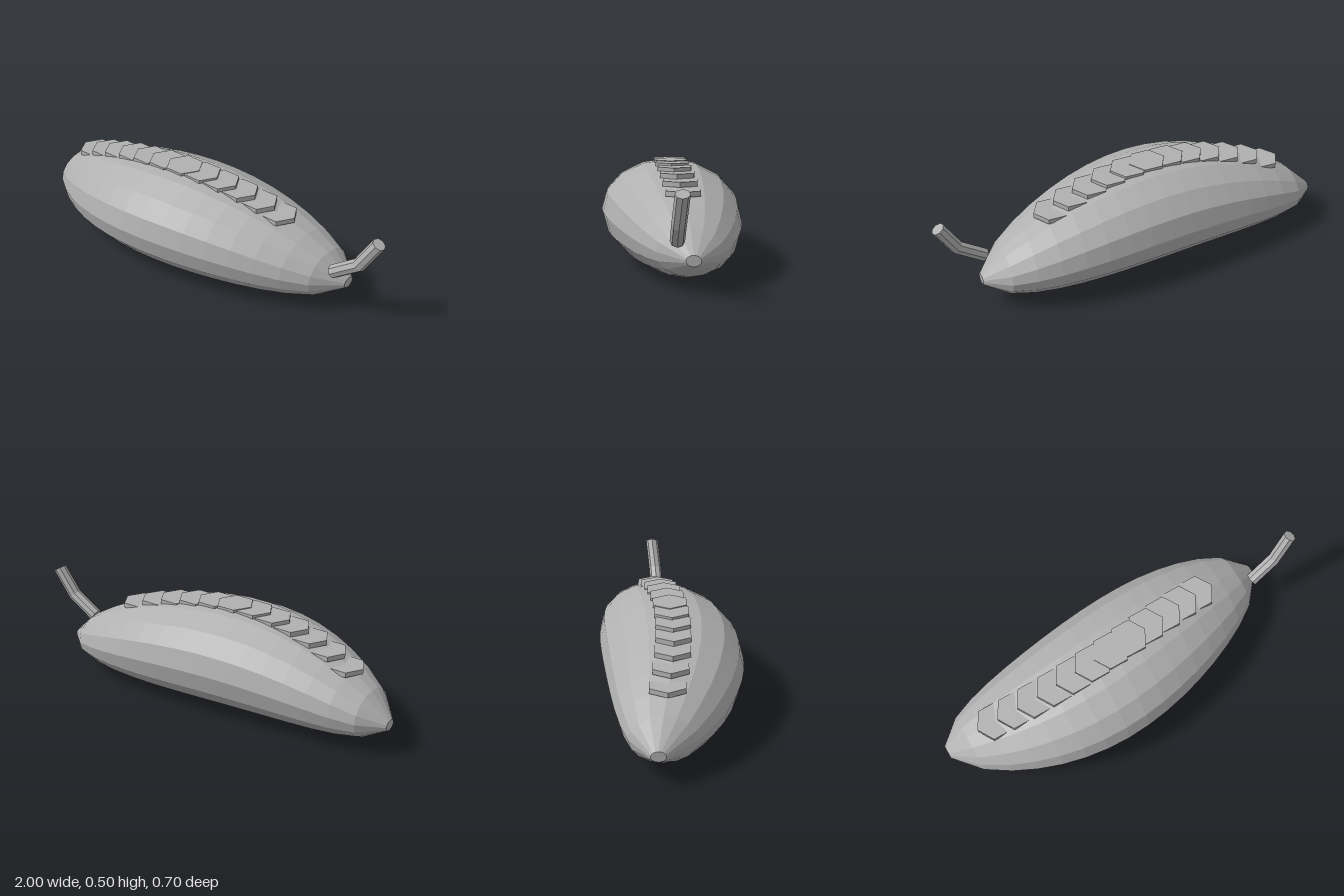
import * as THREE from 'three';

const SIDES = 16, SEGMENTS = 16;

// Body curves along its length, t = 0 (rounded end) to 1 (stem end)
const bodyRadius = t => Math.max(0.034, 0.34 * Math.sqrt(Math.max(0, Math.sin(Math.PI * t))));
const bodyCentre = t => new THREE.Vector3(
  -1 + 1.8 * t,
  0.15 + 0.1 * Math.sin(Math.PI * t),
  -0.06 - 0.066 * t + 0.1 * Math.sin(Math.PI * t) + 0.018 * Math.sin(2 * Math.PI * t)
);
const HEIGHT_RATIO = 0.735;

// Skin a closed, capped surface over elliptical rings {centre, up, rz, ry}
function loft(rings, sides) {
  const pos = [], index = [];
  for (const { centre, up, rz, ry } of rings) {
    for (let j = 0; j < sides; j++) {
      const a = (j / sides) * Math.PI * 2;
      const p = centre.clone().addScaledVector(up, ry * Math.sin(a));
      pos.push(p.x, p.y, p.z + rz * Math.cos(a));
    }
  }
  const last = rings.length - 1;
  for (let i = 0; i < last; i++) {
    for (let j = 0; j < sides; j++) {
      const k = (j + 1) % sides;
      const a = i * sides + j, b = a + sides, c = (i + 1) * sides + k, d = i * sides + k;
      index.push(a, b, c, a, c, d);
    }
  }
  for (let j = 1; j < sides - 1; j++) {
    index.push(0, j, j + 1);
    index.push(last * sides, last * sides + j + 1, last * sides + j);
  }
  const g = new THREE.BufferGeometry();
  g.setAttribute('position', new THREE.Float32BufferAttribute(pos, 3));
  g.setIndex(index);
  g.computeVertexNormals();
  return g;
}

export function createModel() {
  const model = new THREE.Group();
  model.name = 'pod';
  const grey = new THREE.MeshStandardMaterial({ color: 0xb0b0b0, flatShading: true });
  grey.name = 'grey';
  const add = (geometry, name, parent = model) => {
    const mesh = new THREE.Mesh(geometry, grey);
    mesh.name = name;
    parent.add(mesh);
    return mesh;
  };

  // Plump, gently curved body
  const bodyRings = [];
  for (let i = 0; i <= SEGMENTS; i++) {
    const t = i / SEGMENTS, r = bodyRadius(t);
    bodyRings.push({ centre: bodyCentre(t), up: new THREE.Vector3(0, 1, 0), rz: r, ry: r * HEIGHT_RATIO });
  }
  add(loft(bodyRings, SIDES), 'body');

  // Bent stem: ring centre and heading (the middle ring is mitred)
  const stemRings = [
    [0.755, 0.23, -0.055, 0.61],
    [0.885, 0.32, -0.065, 0.82],
    [0.968, 0.458, -0.082, 1.03],
  ].map(([x, y, z, heading], i) => ({
    centre: new THREE.Vector3(x, y, z),
    up: new THREE.Vector3(-Math.sin(heading), Math.cos(heading), 0),
    rz: 0.033,
    ry: i === 1 ? 0.0335 : 0.033,
  }));
  add(loft(stemRings, 8), 'stem');

  // Row of overlapping hexagonal plates along the top ridge
  const ridge = new THREE.Group();
  ridge.name = 'ridge';
  model.add(ridge);
  const plate = new THREE.CylinderGeometry(0.093, 0.093, 0.024, 6, 1, false, Math.PI / 2);
  const PLATES = 12;
  for (let i = 0; i < PLATES; i++) {
    const x = -0.735 + (i / (PLATES - 1)) * 1.152;
    const t = (x + 1) / 1.8;
    const c = bodyCentre(t);
    add(plate, 'ridgePlate', ridge).position.set(
      x, c.y + bodyRadius(t) * HEIGHT_RATIO - 0.012, c.z - 0.007);
  }
  return model;
}
